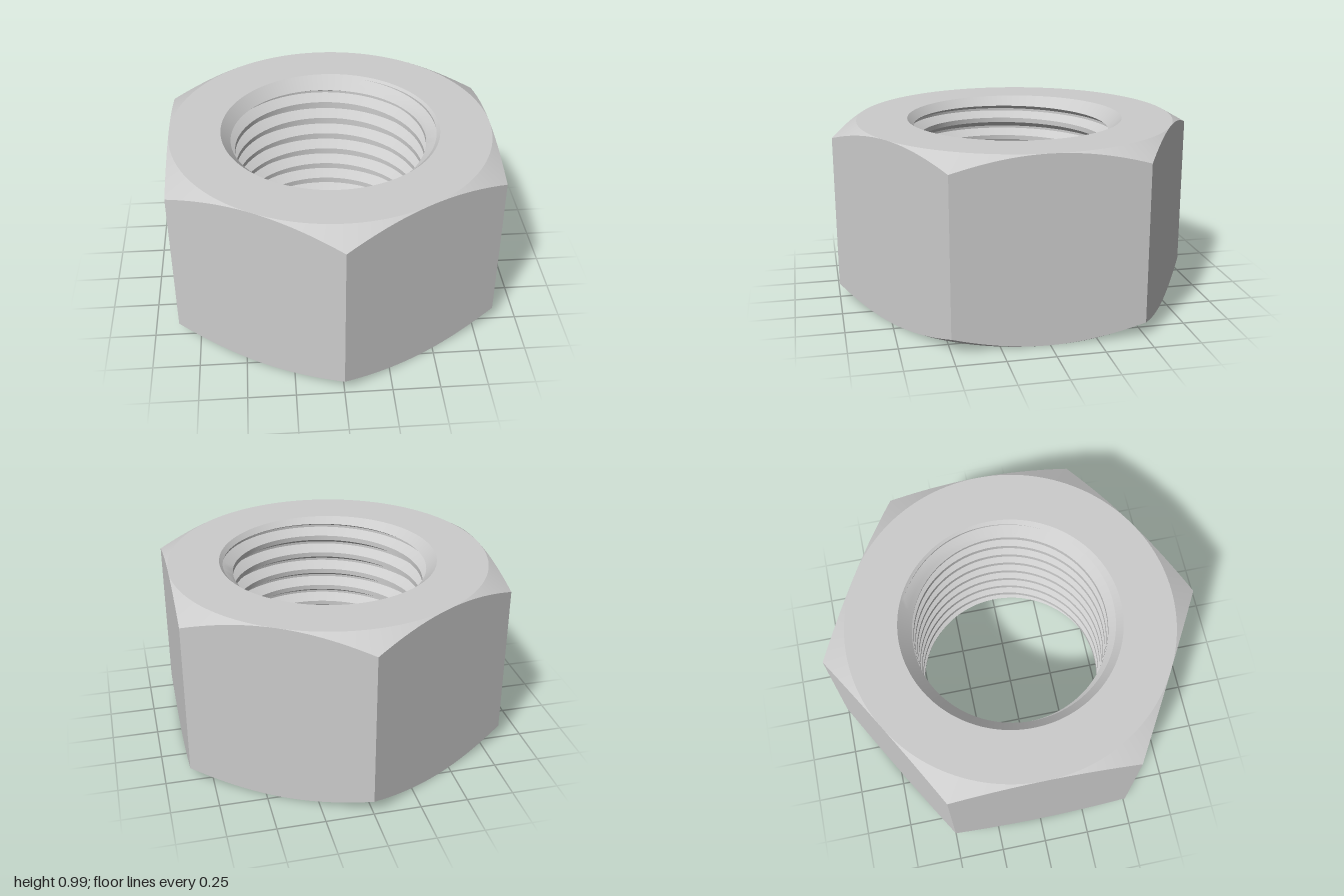
import * as THREE from 'three';
import { toCreasedNormals } from 'three/addons/utils/BufferGeometryUtils.js';

const H = 0.99;            // nut height
const FLAT = Math.sqrt(3) / 2; // centre to flat
const RIM = 0.59;          // countersink radius at the faces
const MINOR = 0.519, MAJOR = 0.577, PITCH = 0.108, PHASE = 0.3;
const SEGMENTS = 144;

// Sweep a ring of [radius, y] sections around the axis into a creased surface.
function sweep(section) {
  const columns = [];
  for (let i = 0; i <= SEGMENTS; i++) {
    const turn = i / SEGMENTS, a = turn * Math.PI * 2;
    columns.push(section(turn, a).map(([r, y]) =>
      new THREE.Vector3(r * Math.cos(a), y, -r * Math.sin(a))));
  }
  const positions = [];
  const triangle = (a, b, c) => {
    const area = b.clone().sub(a).cross(c.clone().sub(a)).length();
    if (area > 1e-9) for (const p of [a, b, c]) positions.push(p.x, p.y, p.z);
  };
  for (let i = 0; i < SEGMENTS; i++) {
    const p = columns[i], q = columns[i + 1];
    for (let j = 0; j < p.length - 1; j++) {
      triangle(p[j], p[j + 1], q[j]);
      triangle(p[j + 1], q[j + 1], q[j]);
    }
  }
  const geometry = new THREE.BufferGeometry();
  geometry.setAttribute('position', new THREE.Float32BufferAttribute(positions, 3));
  return toCreasedNormals(geometry, 0.4);
}

// Hexagon with conically chamfered corners, top and bottom faces.
function bodySection(turn, a) {
  const third = Math.PI / 3;
  const off = a - Math.round(a / third) * third; // angle from nearest flat
  const r = FLAT / Math.cos(off);
  const drop = (r - FLAT) / Math.sqrt(3);
  return [[RIM, H], [FLAT, H], [r, H - drop], [r, drop], [FLAT, 0], [RIM, 0]];
}

// Thread profile over one pitch: crest, flank, root, flank.
const BREAKS = [0, 0.25, 0.5625, 0.6875, 1];
const RADII = [MINOR, MINOR, MAJOR, MAJOR, MINOR];

// Right-handed helical thread, cut by a 45 degree countersink at both ends.
function threadSection(turn) {
  const sink = (y) => RIM - Math.min(y, H - y);
  const clampY = (y) => THREE.MathUtils.clamp(y, 0, H);
  const points = [];
  for (let k = -2; k < 10; k++) {
    for (let s = 0; s < 4; s++) {
      const start = (k + turn + PHASE + BREAKS[s]) * PITCH;
      const end = (k + turn + PHASE + BREAKS[s + 1]) * PITCH;
      const thread = (y) => THREE.MathUtils.mapLinear(y, start, end, RADII[s], RADII[s + 1]);
      const a = clampY(start), b = clampY(end);
      if (a === b) { // outside the nut: collapse onto the rim
        points.push([RIM, a], [RIM, a]);
        continue;
      }
      // middle row follows the line where the countersink meets the thread
      const fa = thread(a) - sink(a), fb = thread(b) - sink(b);
      const m = a + (b - a) * (fa * fb < 0 ? fa / (fa - fb) : 0.5);
      for (const y of [a, m]) points.push([Math.max(thread(y), sink(y)), y]);
    }
  }
  points.push([RIM, H]);
  return points;
}

export function createModel() {
  const group = new THREE.Group();
  group.name = 'hexNut';
  const material = new THREE.MeshStandardMaterial({ color: 0xcccccc });
  for (const [name, section] of [['hexBody', bodySection], ['threadedBore', threadSection]]) {
    const mesh = new THREE.Mesh(sweep(section), material);
    mesh.name = name;
    group.add(mesh);
  }
  return group;
}
